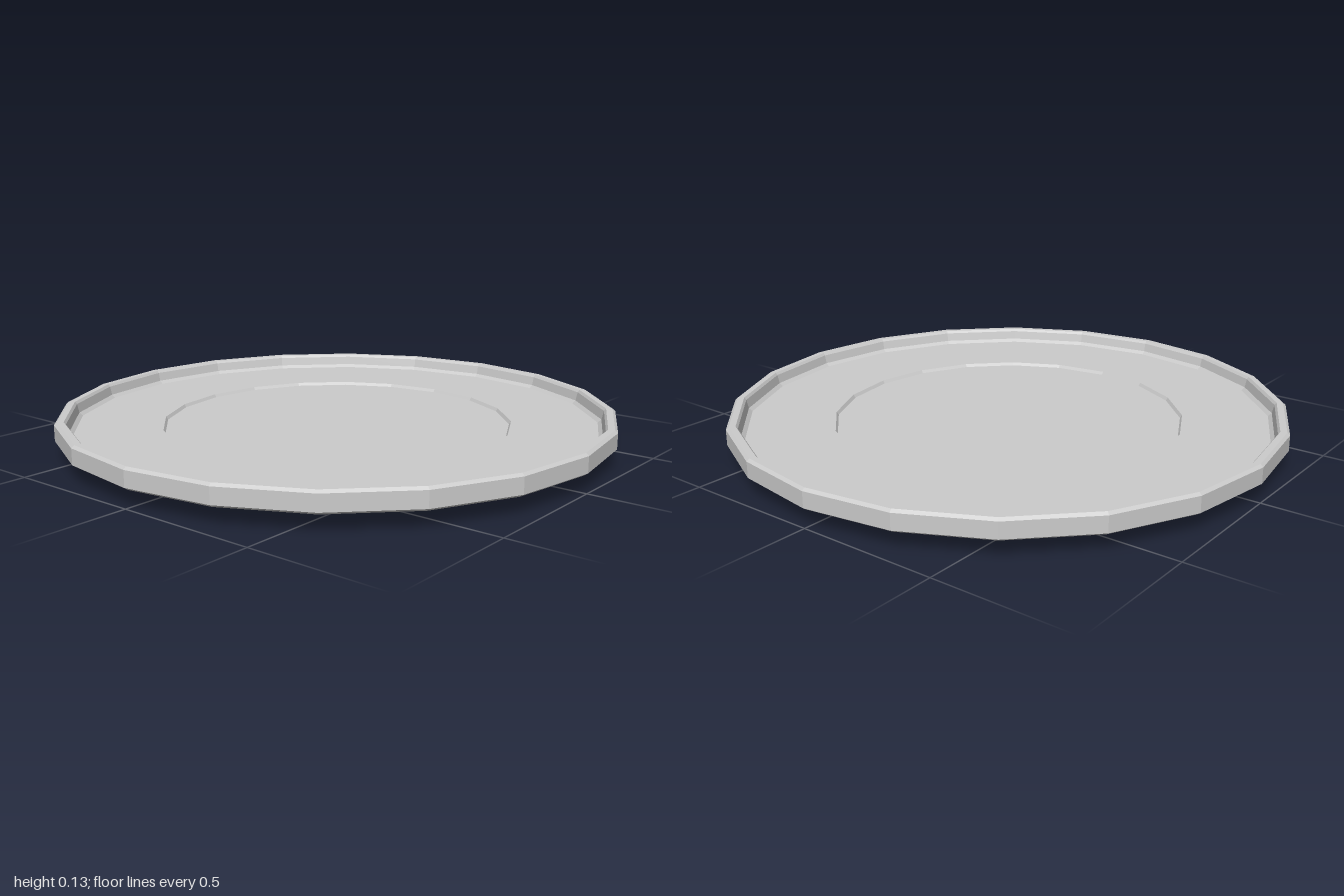
import * as THREE from 'three';

const SIDES = 20;
const material = new THREE.MeshStandardMaterial({ color: 0xcccccc, flatShading: true });

// Faceted ring turned from [radius, height] pairs, listed from the underside outwards and over the top
function turned(name, profile) {
  const points = profile.map(([r, y]) => new THREE.Vector2(r, y));
  const mesh = new THREE.Mesh(new THREE.LatheGeometry(points, SIDES), material);
  mesh.name = name;
  return mesh;
}

export function createModel() {
  const plate = new THREE.Group();
  plate.name = 'plate';

  // Raised foot under the plate, with a chamfered lower edge
  plate.add(turned('foot', [
    [0, 0], [0.615, 0], [0.625, 0.01], [0.625, 0.045], [0.62, 0.056],
  ]));

  // Underside and outer rim, chamfered at both edges
  plate.add(turned('rim', [
    [0.62, 0.056], [0.985, 0.056], [1, 0.066], [1, 0.122], [0.99, 0.131],
    [0.967, 0.131], [0.96, 0.122], [0.953, 0.09], [0.94, 0.079],
  ]));

  // Eating surface with a shallow round well in the middle
  plate.add(turned('well', [
    [0.94, 0.079], [0.63, 0.079], [0.623, 0.068], [0, 0.068],
  ]));

  return plate;
}
